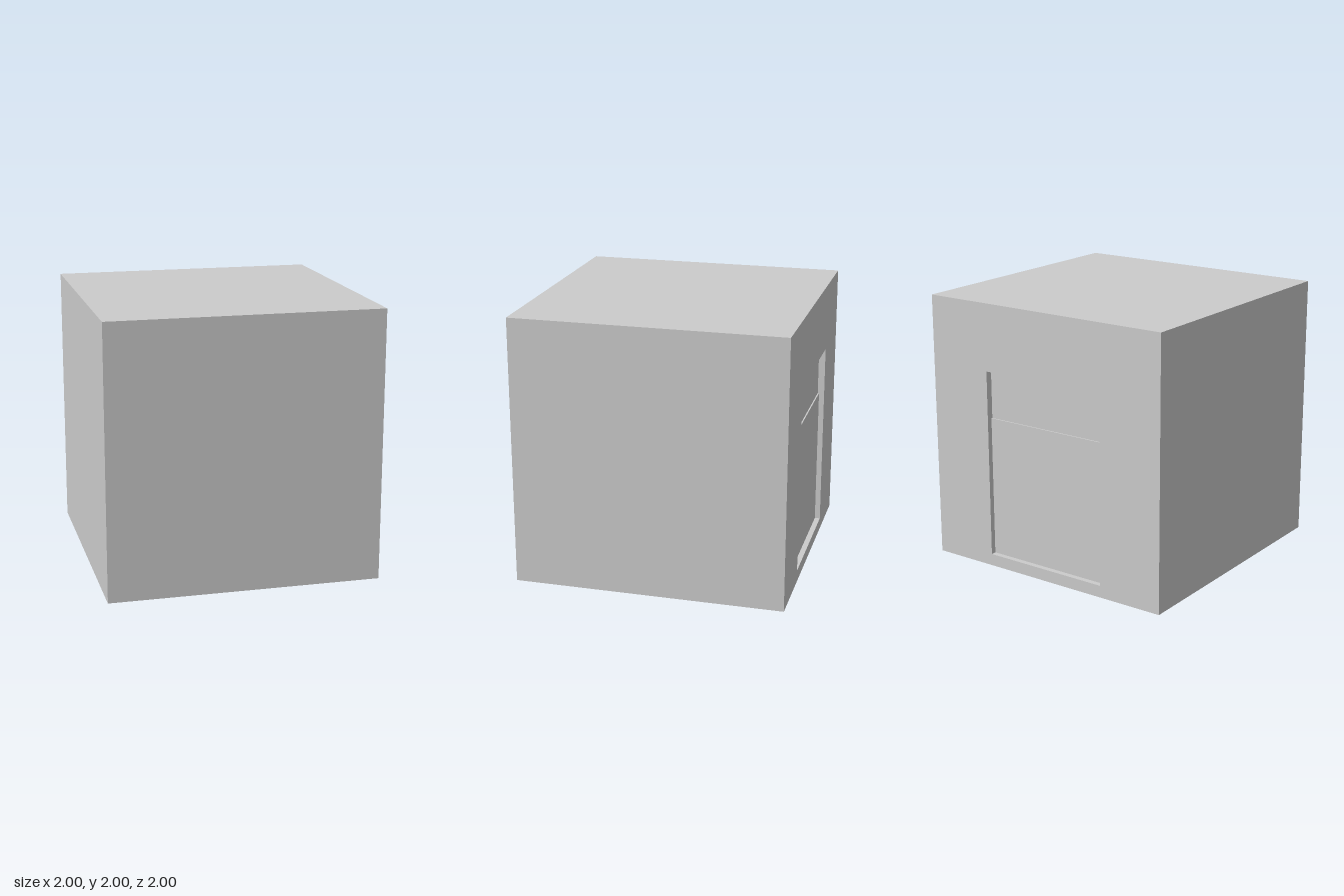
import * as THREE from 'three';

export function createModel() {
  const group = new THREE.Group();
  const material = new THREE.MeshStandardMaterial({ color: 0xcccccc, flatShading: true });

  const size = 2;
  const recess = 0.05;
  const door = { left: -0.5, right: 0.5, bottom: 0.09, top: 1.5, split: 1.14, thickness: 0.01 };

  function add(name, geometry, x, y, z) {
    const mesh = new THREE.Mesh(geometry, material);
    mesh.name = name;
    mesh.position.set(x, y, z);
    group.add(mesh);
  }

  // Main block; its back face is also the upper panel of the doorway
  add('body', new THREE.BoxGeometry(size, size, size - recess), 0, size / 2, recess / 2);

  // Back wall with the doorway cut out
  const wall = new THREE.Shape([
    new THREE.Vector2(-1, 0), new THREE.Vector2(1, 0),
    new THREE.Vector2(1, size), new THREE.Vector2(-1, size),
  ]);
  wall.holes.push(new THREE.Path([
    new THREE.Vector2(door.left, door.bottom), new THREE.Vector2(door.left, door.top),
    new THREE.Vector2(door.right, door.top), new THREE.Vector2(door.right, door.bottom),
  ]));
  add('backWall', new THREE.ExtrudeGeometry(wall, { depth: recess, bevelEnabled: false }), 0, 0, -1);

  // Lower door panel, standing slightly proud of the upper one
  const height = door.split - door.bottom;
  add('doorPanel', new THREE.BoxGeometry(door.right - door.left, height, door.thickness),
    0, door.bottom + height / 2, -1 + recess - door.thickness / 2);

  return group;
}
